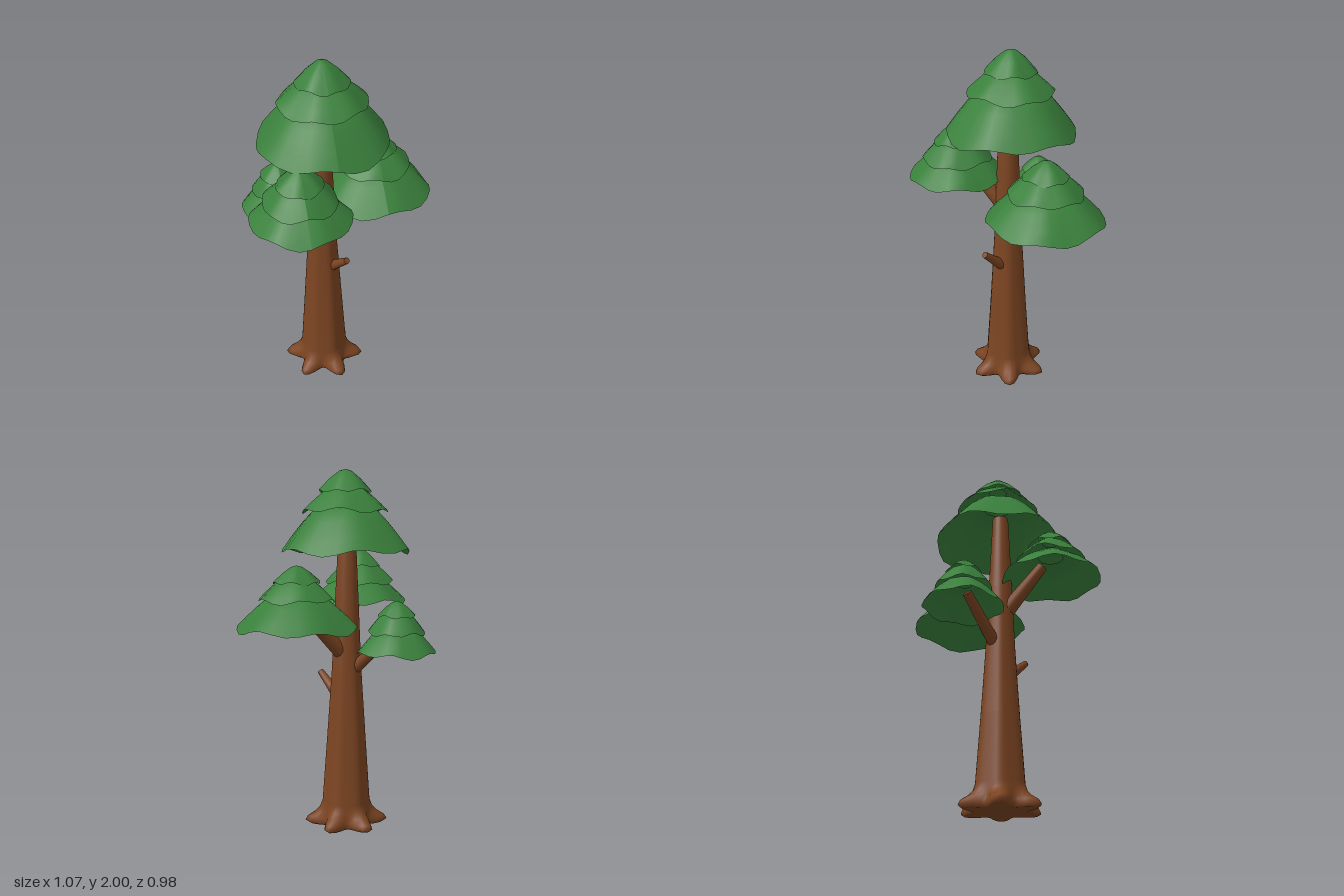
import * as THREE from 'three';

const bark = new THREE.MeshStandardMaterial({ color: 0x7d4522 });
const leaf = new THREE.MeshStandardMaterial({ color: 0x3a803c, side: THREE.DoubleSide });

function add(parent, name, geometry, material) {
  const mesh = new THREE.Mesh(geometry, material);
  mesh.name = name;
  parent.add(mesh);
  return mesh;
}

// Tapered trunk whose foot swells into six roots
function trunkGeometry() {
  // height, radius between roots, radius along roots
  const rows = [
    [0.005, 0, 0], [0.005, 0.13, 0.21], [0.02, 0.145, 0.235], [0.045, 0.14, 0.22], [0.07, 0.137, 0.18],
    [0.1, 0.133, 0.15], [0.14, 0.127, 0.135], [0.5, 0.103, 0.11], [0.9, 0.08, 0.083],
    [1.25, 0.066, 0.067], [1.72, 0.045, 0.045], [1.72, 0, 0],
  ];
  const segments = 48;
  const geometry = new THREE.LatheGeometry(rows.map(([y, r]) => new THREE.Vector2(r, y)), segments);
  const pos = geometry.attributes.position;
  for (let i = 0; i < pos.count; i++) {
    const [y, valley, ridge] = rows[i % rows.length];
    const a = (Math.floor(i / rows.length) / segments) * Math.PI * 2;
    const lobe = Math.pow(0.5 + 0.5 * Math.cos(6 * (a - Math.PI / 12)), 1.2);
    const r = valley + (ridge - valley) * lobe;
    pos.setXYZ(i, r * Math.cos(a), y, r * Math.sin(a));
  }
  // Rows run the other way round after the remap, so flip the faces
  const index = geometry.index.array;
  for (let i = 0; i < index.length; i += 3) [index[i], index[i + 1]] = [index[i + 1], index[i]];
  geometry.computeVertexNormals();
  return geometry;
}

// Tapered branch between two points
function branch(parent, name, from, to, r0, r1) {
  const a = new THREE.Vector3(...from), b = new THREE.Vector3(...to);
  const dir = b.clone().sub(a);
  const mesh = add(parent, name, new THREE.CylinderGeometry(r1, r0, dir.length(), 12), bark);
  mesh.position.copy(a).add(b).multiplyScalar(0.5);
  mesh.quaternion.setFromUnitVectors(new THREE.Vector3(0, 1, 0), dir.normalize());
}

// Skirt of foliage with a wavy, drooping rim
function tierGeometry(profile, wave, phase) {
  const geometry = new THREE.LatheGeometry(profile.map((p) => new THREE.Vector2(...p)), 28);
  const pos = geometry.attributes.position;
  const rim = profile[profile.length - 1][0];
  for (let i = 0; i < pos.count; i++) {
    const x = pos.getX(i), z = pos.getZ(i);
    const a = Math.atan2(z, x);
    const t = Math.pow(Math.hypot(x, z) / rim, 2);
    const ripple = Math.sin(6 * a + phase) + 0.5 * Math.sin(3 * a + phase * 2);
    const s = 1 + 0.02 * t * Math.sin(4 * a + phase);
    pos.setXYZ(i, x * s, pos.getY(i) + wave * t * ripple, z * s);
  }
  geometry.computeVertexNormals();
  return geometry;
}

// Three stacked tiers; rims are [radius, height] from the top down
function canopy(parent, name, x, z, apex, rims, phase) {
  const group = new THREE.Group();
  group.name = name;
  group.position.set(x, 0, z);
  parent.add(group);
  rims.forEach(([r, y], i) => {
    let profile;
    if (i === 0) {
      const h = apex - y;
      profile = [[0, apex], [r * 0.25, apex - h * 0.1], [r * 0.6, apex - h * 0.45], [r, y]];
    } else {
      const [pr, py] = rims[i - 1];
      const r0 = pr * 0.7, y0 = py + 0.015, h = y0 - y;
      profile = [[r0 * 0.5, y0 + 0.02], [r0, y0], [r0 + (r - r0) * 0.35, y0 - h * 0.3],
        [r0 + (r - r0) * 0.7, y0 - h * 0.66], [r, y]];
    }
    add(group, 'foliageTier', tierGeometry(profile, 0.035 * r + 0.003, phase + i * 1.7), leaf);
  });
}

export function createModel() {
  const tree = new THREE.Group();
  tree.name = 'tree';

  const trunk = add(tree, 'trunk', trunkGeometry(), bark);
  trunk.position.set(-0.105, 0, -0.028);

  // Branches carrying the side canopies, and one bare stub
  branch(tree, 'leftBranch', [-0.09, 0.98, -0.04], [0.17, 1.24, -0.11], 0.045, 0.03);
  branch(tree, 'frontBranch', [-0.12, 1.1, -0.01], [-0.24, 1.36, 0.18], 0.045, 0.03);
  branch(tree, 'backBranch', [-0.13, 0.9, -0.06], [-0.28, 1.12, -0.25], 0.036, 0.026);
  branch(tree, 'stub', [-0.07, 0.74, 0.01], [-0.005, 0.865, 0.14], 0.033, 0.018);

  // Canopies
  canopy(tree, 'topCanopy', -0.09, -0.04, 2.0, [[0.14, 1.88], [0.235, 1.775], [0.355, 1.56]], 0.4);
  canopy(tree, 'leftCanopy', 0.215, -0.135, 1.49, [[0.125, 1.4], [0.205, 1.31], [0.32, 1.155]], 1.9);
  canopy(tree, 'frontCanopy', -0.27, 0.22, 1.565, [[0.125, 1.465], [0.195, 1.37], [0.265, 1.265]], 3.1);
  canopy(tree, 'backCanopy', -0.3, -0.275, 1.3, [[0.1, 1.22], [0.15, 1.13], [0.212, 1.025]], 4.6);

  return tree;
}
